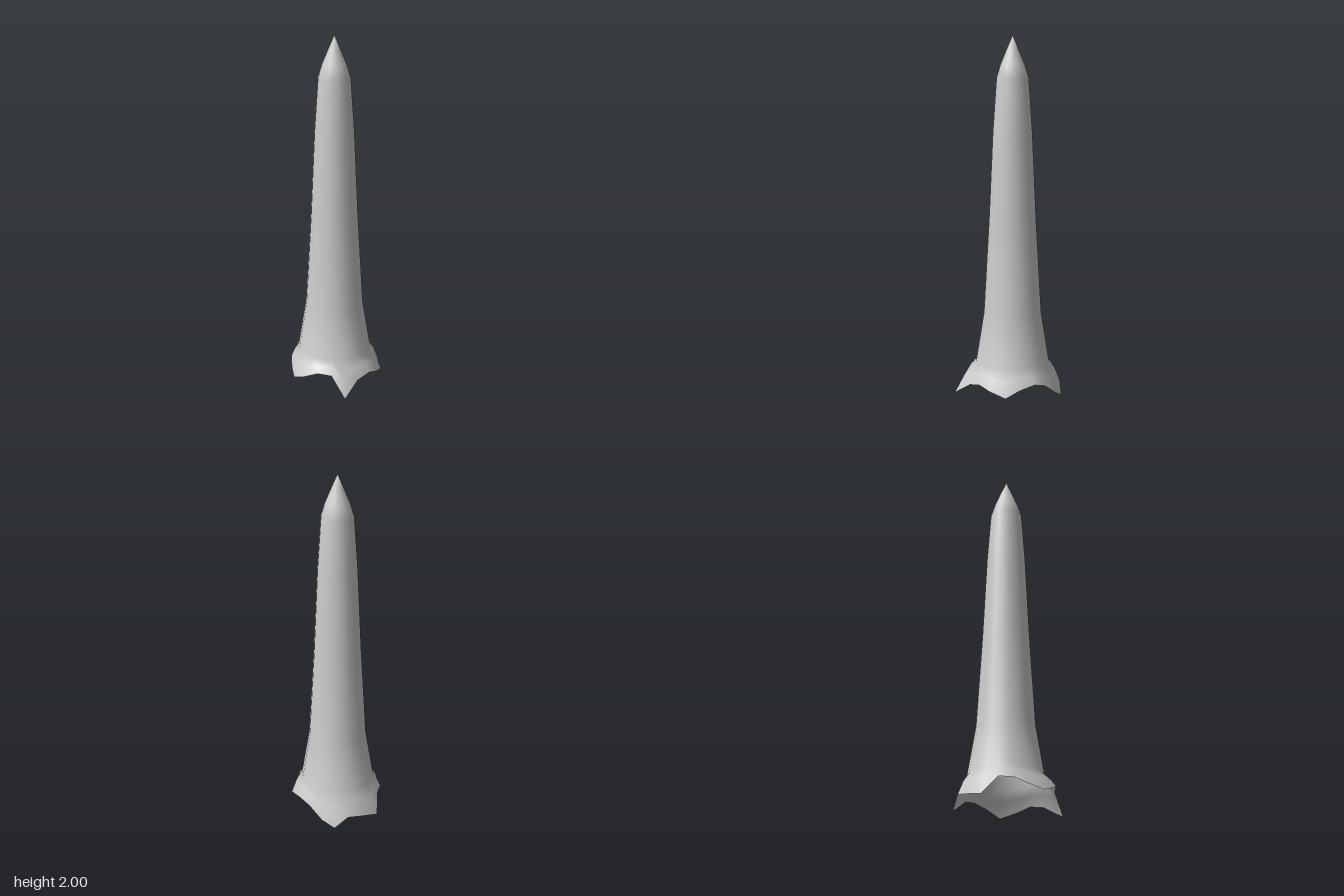
import * as THREE from 'three';

const CX = 0.01, CZ = -0.02; // axis of the spike

// [radius, height] of the shaft, from tip to collar
const PROFILE = [
  [0.034, 1.92], [0.067, 1.84], [0.088, 1.77], [0.108, 1.48],
  [0.13, 1.0], [0.16, 0.48], [0.205, 0.2],
];

// Ragged broken rim: [x, y, z], clockwise seen from below, starting at the back
const RIM = [
  [-0.09, 0.03, -0.285], [0, 0.05, -0.283], [0.1, 0.07, -0.275], [0.17, 0.005, -0.245],
  [0.215, 0.04, -0.18], [0.245, 0.1, -0.095], [0.263, 0.12, -0.02], [0.25, 0.095, 0.07],
  [0.225, 0.055, 0.14], [0.155, 0.085, 0.2], [0.085, 0.11, 0.23], [0, 0.09, 0.243],
  [-0.11, 0.02, 0.283], [-0.14, 0.13, 0.19], [-0.2, 0.14, 0.14], [-0.248, 0.1, 0.065],
  [-0.265, 0.07, -0.01], [-0.235, 0.09, -0.085], [-0.195, 0.12, -0.16], [-0.14, 0.125, -0.215],
];

// Joins closed rings of points (top to bottom) below a single tip point
function skin(tip, rings) {
  const n = rings[0].length;
  const index = [];
  for (let i = 0; i < n; i++) index.push(0, 1 + (i + 1) % n, 1 + i);
  for (let r = 0; r < rings.length - 1; r++) {
    for (let i = 0; i < n; i++) {
      const j = (i + 1) % n;
      const a = 1 + r * n + i, b = 1 + r * n + j;
      const c = a + n, d = b + n;
      index.push(a, b, c, b, d, c);
    }
  }
  const geometry = new THREE.BufferGeometry();
  geometry.setAttribute('position', new THREE.Float32BufferAttribute([tip, ...rings.flat()].flat(), 3));
  geometry.setIndex(index);
  geometry.computeVertexNormals();
  return geometry;
}

export function createModel() {
  const group = new THREE.Group();
  group.name = 'spike';

  // Round shaft rings, lined up with the rim points
  const rings = PROFILE.map(([radius, y]) => RIM.map((_, i) => {
    const angle = (i - 6) / RIM.length * Math.PI * 2;
    return [CX + Math.cos(angle) * radius, y, CZ + Math.sin(angle) * radius];
  }));

  // Flared skirt between the shaft and the ragged rim
  const collar = rings[rings.length - 1];
  rings.push(collar.map((p, i) => {
    const q = RIM[i];
    return [
      p[0] + (q[0] - p[0]) * 0.55,
      p[1] + (q[1] - p[1]) * 0.42,
      p[2] + (q[2] - p[2]) * 0.55,
    ];
  }));
  rings.push(RIM);

  // Hollow shell, open at the base
  const shell = new THREE.Mesh(
    skin([CX, 2, CZ], rings),
    new THREE.MeshStandardMaterial({ color: 0xcccccc, side: THREE.DoubleSide }),
  );
  shell.name = 'spikeShell';
  group.add(shell);
  return group;
}
